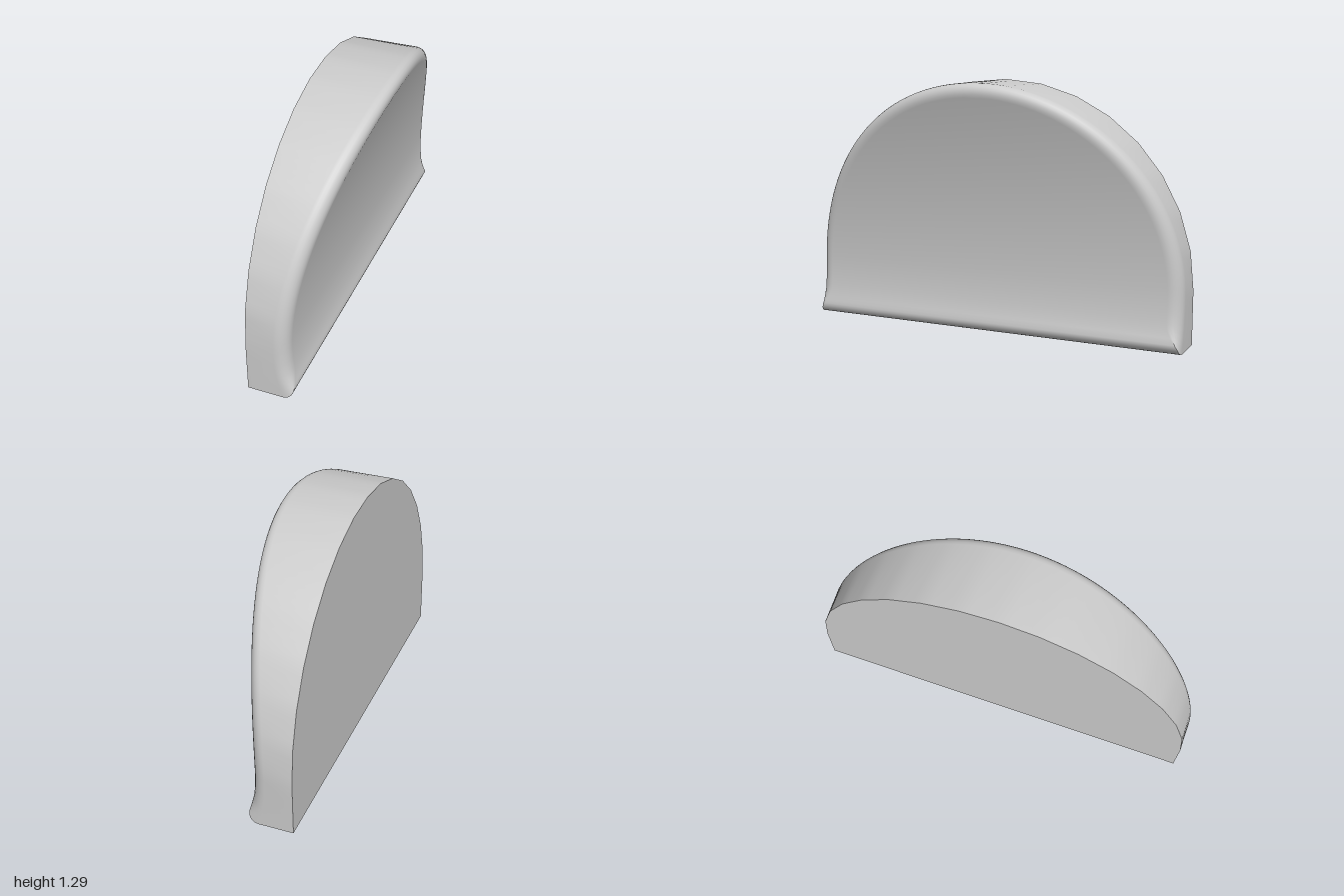
import * as THREE from 'three';
import { toCreasedNormals } from 'three/addons/utils/BufferGeometryUtils.js';

const R = 1.0135;       // half width and arch radius
const SPRING = 0.277;   // height where the arch starts
const FILLET = 0.07;    // rounding of the front rim
const ARC = 64;         // samples around the arch
const FACET = Math.PI / 16;

// depth of the concave front face at height y
const faceDepth = (y) => y > 0.28
  ? 0.21 + 0.21 * Math.pow(y - 0.28, 1.85)
  : 0.21 + 0.5 * (0.28 - y) ** 2;

// arch outline inset by d, from the bottom right corner over to the bottom left
function outline(d, faceted) {
  const pts = [];
  const steps = [0, 0.08, 0.18, 0.3, 0.45, 0.7];
  const side = steps.map((t) => {
    const y = d + (SPRING - d) * t;
    // the rounding narrows near the foot so the lip flares to full width
    const s = THREE.MathUtils.lerp(0.3, 1, THREE.MathUtils.smoothstep(y, 0.02, 0.15));
    return [R - d * s, y];
  });
  side.forEach(([x, y]) => pts.push([x, y]));
  for (let i = 0; i <= ARC; i++) {
    const a = (Math.PI * i) / ARC;
    const local = (a % FACET) - FACET / 2;
    const r = faceted ? R * Math.cos(FACET / 2) / Math.cos(local) : R - d;
    pts.push([r * Math.cos(a), SPRING + r * Math.sin(a)]);
  }
  side.reverse().forEach(([x, y]) => pts.push([-x, y]));
  return pts;
}

function padGeometry() {
  // back outline, then rings rolling over the rounded rim
  const rings = [outline(0, true).map(([x, y]) => [x, y, 0])];
  const STEPS = 7;
  for (let k = 0; k <= STEPS; k++) {
    const a = (k / STEPS) * Math.PI / 2;
    const drop = FILLET * (1 - Math.sin(a));
    rings.push(outline(FILLET * (1 - Math.cos(a)), false)
      .map(([x, y]) => [x, y, faceDepth(y) - drop]));
  }
  const n = rings[0].length;
  const index = [];

  // side wall, underside and rim
  for (let k = 0; k < rings.length - 1; k++) {
    for (let i = 0; i < n; i++) {
      const j = (i + 1) % n, a = k * n, b = a + n;
      index.push(a + i, a + j, b + j, a + i, b + j, b + i);
    }
  }
  // flat back and concave front, filled with horizontal strips
  const f = (rings.length - 1) * n;
  for (let i = 0; i < (n - 1) / 2; i++) {
    const p = i + 1, q = n - 2 - i, r = n - 1 - i;
    index.push(f + i, f + q, f + r, i, r, q);
    if (p !== q) index.push(f + i, f + p, f + q, i, q, p);
  }
  const geo = new THREE.BufferGeometry();
  geo.setAttribute('position', new THREE.Float32BufferAttribute(rings.flat(2), 3));
  geo.setIndex(index);
  return toCreasedNormals(geo, 0.6);
}

export function createModel() {
  const group = new THREE.Group();
  const pad = new THREE.Mesh(padGeometry(), new THREE.MeshStandardMaterial({ color: 0xcccccc }));
  pad.name = 'archedPad';
  pad.rotation.y = 0.311;
  pad.position.set(-0.035, 0, -0.11);
  group.add(pad);
  return group;
}
